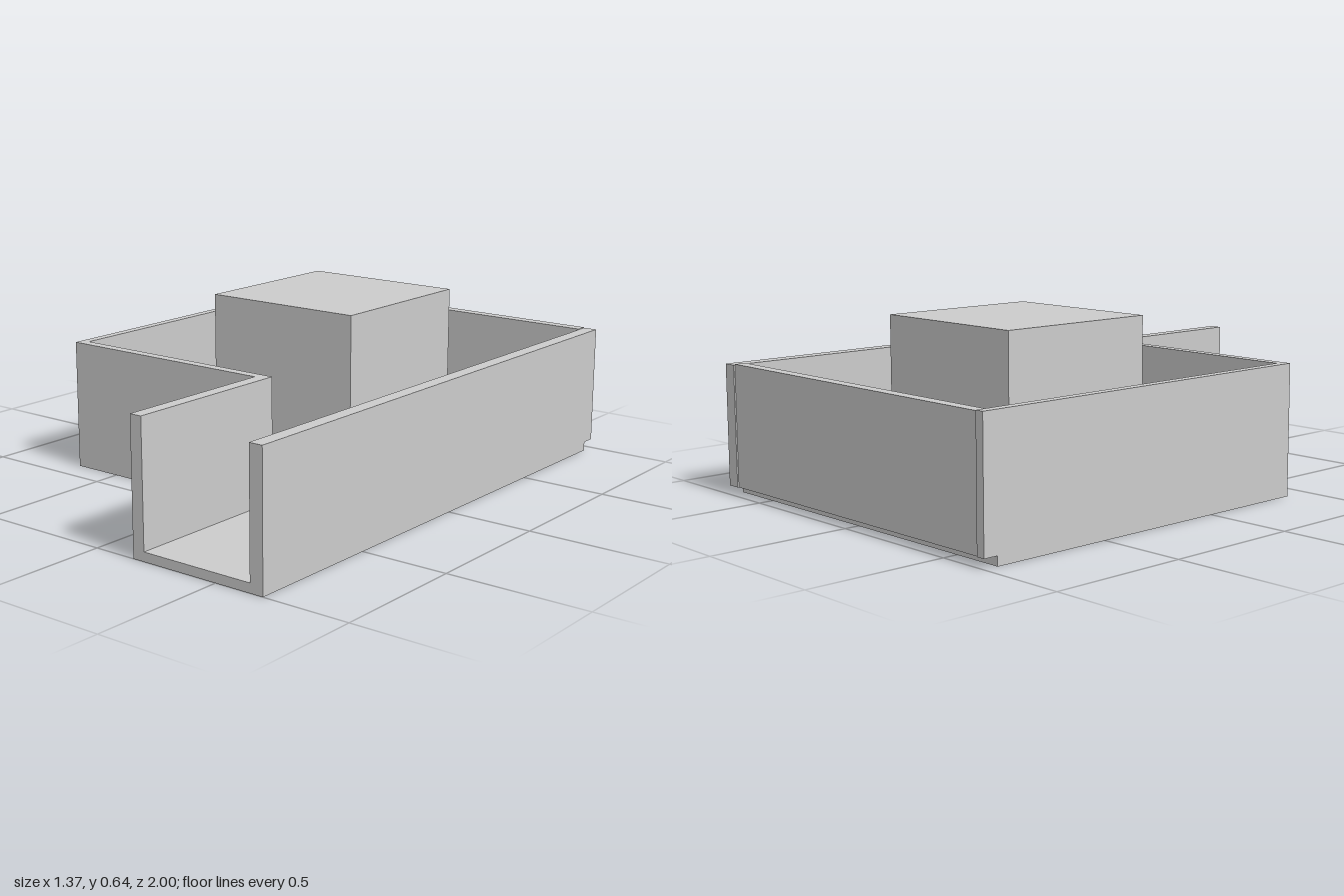
import * as THREE from 'three';

export function createModel() {
  const model = new THREE.Group();
  const material = new THREE.MeshStandardMaterial({ color: 0xcccccc, flatShading: true });

  const add = (name, geometry) => {
    const mesh = new THREE.Mesh(geometry, material);
    mesh.name = name;
    model.add(mesh);
  };

  // Box given by its limits on each axis
  const box = (name, [x0, x1], [y0, y1], [z0, z1]) => {
    const geometry = new THREE.BoxGeometry(x1 - x0, y1 - y0, z1 - z0);
    geometry.translate((x0 + x1) / 2, (y0 + y1) / 2, (z0 + z1) / 2);
    add(name, geometry);
  };

  const floorTop = 0.033;
  const wallTop = 0.472;
  const sideTop = 0.466;

  // L-shaped floor slab, stopping short of the back wall's outer face
  const outline = [[-0.688, -0.947], [-0.688, 0.4], [0.16, 0.4], [0.16, 1], [0.685, 1], [0.685, -0.947]];
  const shape = new THREE.Shape(outline.map(([x, z]) => new THREE.Vector2(x, -z)));
  const floor = new THREE.ExtrudeGeometry(shape, { depth: floorTop, bevelEnabled: false });
  floor.rotateX(-Math.PI / 2);
  add('floor', floor);

  // Walls around the main room
  box('rightWall', [-0.688, -0.656], [floorTop, wallTop], [-1, 0.4]);
  box('backWall', [-0.656, 0.635], [floorTop, 0.469], [-0.995, -0.953]);
  box('leftWall', [0.635, 0.685], [floorTop, sideTop], [-1, 1]);
  box('frontWall', [-0.656, 0.206], [floorTop, wallTop], [0.364, 0.4]);

  // Inner wall of the open-ended corridor
  box('corridorWall', [0.16, 0.206], [floorTop, wallTop], [0.4, 1]);

  // Central block, taller than the walls
  box('centralBlock', [-0.328, 0.291], [floorTop, 0.638], [-0.582, 0.037]);

  return model;
}
